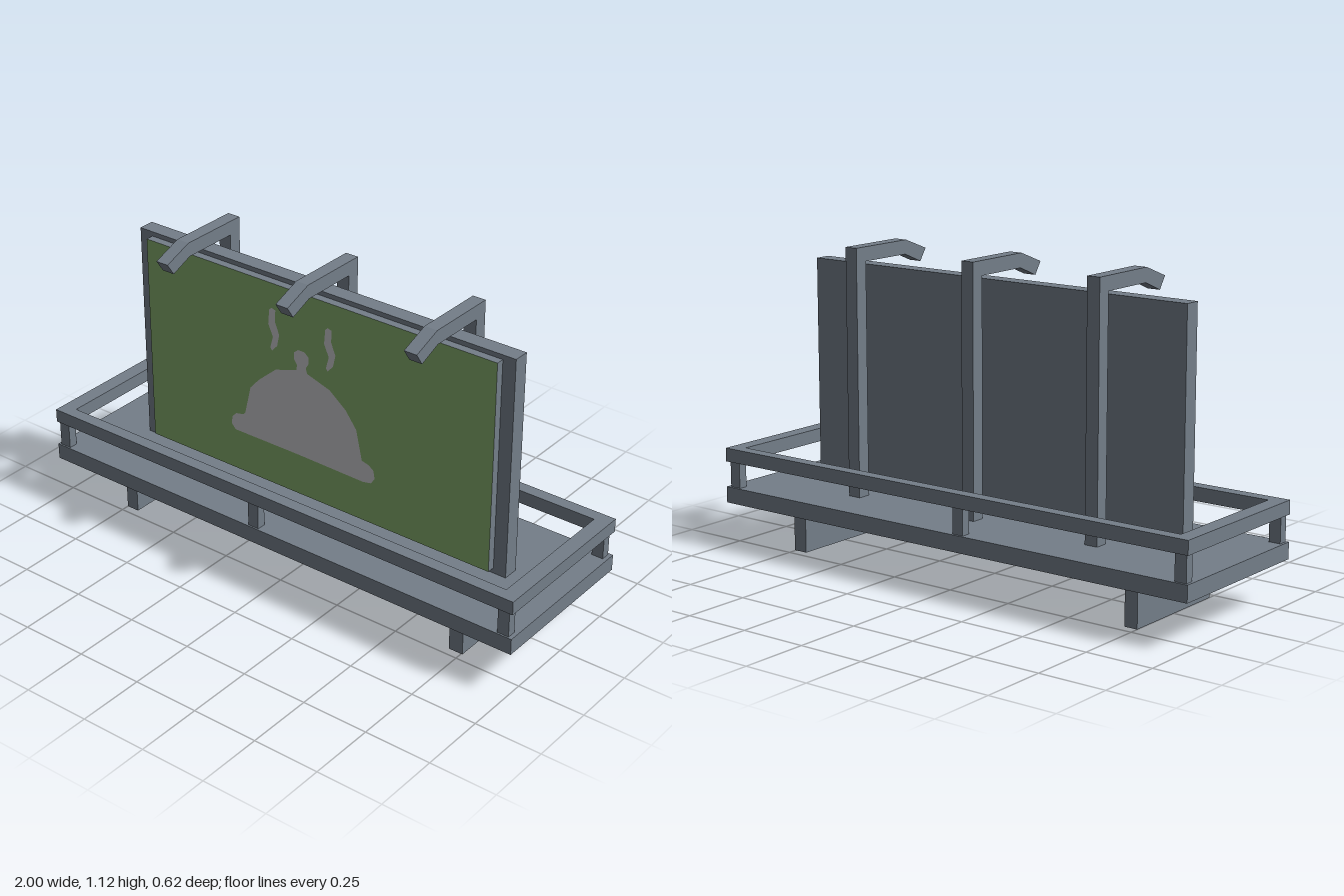
import * as THREE from 'three';

export function createModel() {
  const model = new THREE.Group();
  model.name = 'billboard';

  const steel = new THREE.MeshStandardMaterial({ color: 0x747e89 });
  steel.name = 'steel grey';
  const green = new THREE.MeshStandardMaterial({ color: 0x82aa6b });
  green.name = 'sign green';
  const pale = new THREE.MeshStandardMaterial({ color: 0xc6c6c8 });
  pale.name = 'pale grey';

  const add = (name, geometry, material) => {
    const mesh = new THREE.Mesh(geometry, material);
    mesh.name = name;
    model.add(mesh);
    return mesh;
  };
  // Box given by its lower and upper limits on each axis
  const box = (name, [x0, x1], [y0, y1], [z0, z1], material = steel) => {
    const mesh = add(name, new THREE.BoxGeometry(x1 - x0, y1 - y0, z1 - z0), material);
    mesh.position.set((x0 + x1) / 2, (y0 + y1) / 2, (z0 + z1) / 2);
    return mesh;
  };
  const shapeOf = (points) => new THREE.Shape(points.map(([x, y]) => new THREE.Vector2(x, y)));

  // Walkway and the two supports under it
  box('walkway', [-1, 1], [0.16, 0.22], [-0.31, 0.31]);
  box('rightSupport', [-0.75, -0.7], [0, 0.16], [-0.215, 0.22]);
  box('leftSupport', [0.7, 0.755], [0, 0.16], [-0.215, 0.22]);

  // Guard rail: a rectangular ring on short posts
  const ring = shapeOf([[-1, -0.31], [1, -0.31], [1, 0.31], [-1, 0.31]]);
  ring.holes.push(shapeOf([[-0.943, -0.264], [-0.943, 0.264], [0.943, 0.264], [0.943, -0.264]]));
  const rail = add('guardRail', new THREE.ExtrudeGeometry(ring, { depth: 0.05, bevelEnabled: false }), steel);
  rail.rotation.x = -Math.PI / 2;
  rail.position.y = 0.315;
  for (const x of [-0.968, -0.075, 0.963]) {
    for (const z of [-0.285, 0.287]) {
      box('railPost', [x - 0.022, x + 0.022], [0.22, 0.315], [z - 0.017, z + 0.017]);
    }
  }

  // Backing board and raised panel, green on its front face only
  box('backBoard', [-0.8, 0.79], [0.22, 1.05], [-0.03, 0.03]);
  box('signPanel', [-0.745, 0.74], [0.24, 1.033], [0.03, 0.06],
    [steel, steel, steel, steel, green, steel]);

  // Lamp arms rising behind the board and bending over its top
  const arm = shapeOf([
    [-0.135, 0.22], [-0.085, 0.22], [-0.085, 1.07], [0.13, 1.07],
    [0.215, 1.035], [0.245, 1.08], [0.135, 1.122], [-0.135, 1.122],
  ]);
  const armGeometry = new THREE.ExtrudeGeometry(arm, { depth: 0.05, bevelEnabled: false });
  armGeometry.rotateY(-Math.PI / 2).translate(0.025, 0, 0);
  for (const x of [-0.507, 0.013, 0.533]) add('lampArm', armGeometry, steel).position.x = x;

  // Painted serving dish with its dome, knob and tray
  const dish = shapeOf([
    [-0.37, 0.42], [-0.352, 0.4], [-0.07, 0.4], [0.215, 0.395], [0.25, 0.402], [0.265, 0.425],
    [0.26, 0.455], [0.24, 0.47], [0.21, 0.478], [0.185, 0.59], [0.14, 0.65], [0.07, 0.705],
    [-0.026, 0.735], [-0.032, 0.755], [-0.02, 0.775], [-0.02, 0.8], [-0.038, 0.815],
    [-0.065, 0.815], [-0.083, 0.8], [-0.083, 0.775], [-0.07, 0.755], [-0.073, 0.735],
    [-0.165, 0.705], [-0.24, 0.64], [-0.28, 0.595], [-0.305, 0.487], [-0.315, 0.475],
    [-0.347, 0.468], [-0.365, 0.45],
  ]);
  add('paintedDish', new THREE.ShapeGeometry(dish), pale).position.z = 0.062;

  // Two painted wisps of steam
  const wisp = shapeOf([
    [-0.19, 0.93], [-0.195, 0.875], [-0.175, 0.83], [-0.187, 0.785], [-0.18, 0.775],
    [-0.157, 0.8], [-0.147, 0.845], [-0.165, 0.89], [-0.163, 0.935], [-0.18, 0.94],
  ]);
  for (const x of [0, 0.242]) {
    add('paintedSteam', new THREE.ShapeGeometry(wisp), pale).position.set(x, 0, 0.062);
  }

  return model;
}
